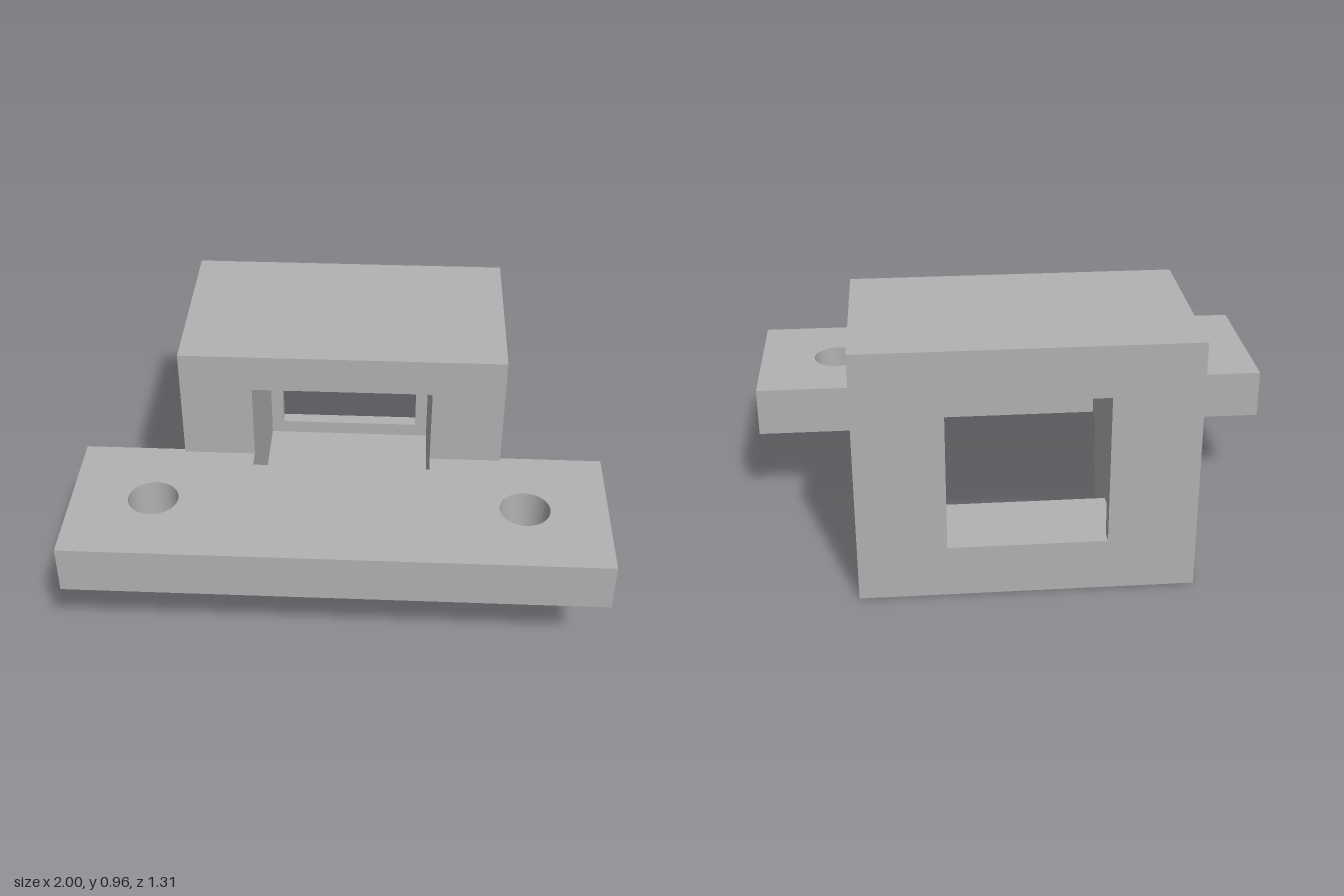
import * as THREE from 'three';
import { toCreasedNormals } from 'three/addons/utils/BufferGeometryUtils.js';

const polygon = (pts, Type = THREE.Shape) => new Type(pts.map(([x, y]) => new THREE.Vector2(x, y)));
const rect = (x, y0, y1) => [[-x, y0], [x, y0], [x, y1], [-x, y1]];

export function createModel() {
  const group = new THREE.Group();
  const grey = new THREE.MeshStandardMaterial({ color: 0xb2b2b2 });
  grey.name = 'plain grey';

  const add = (name, geometry) => {
    const mesh = new THREE.Mesh(geometry, grey);
    mesh.name = name;
    group.add(mesh);
  };
  // Extrudes an x-y outline between two depths
  const slice = (name, shape, z0, z1) => add(name,
    new THREE.ExtrudeGeometry(shape, { depth: z1 - z0, bevelEnabled: false }).translate(0, 0, z0));

  const W = 0.612, H = 0.965;

  // Rear lip with the smaller window
  const lip = polygon(rect(W, 0, H));
  lip.holes.push(polygon(rect(0.29, 0.197, 0.77), THREE.Path));
  slice('rearLip', lip, -0.655, -0.6);

  // Closed frame around the cavity
  const frame = polygon(rect(W, 0, H));
  frame.holes.push(polygon(rect(0.34, 0.14, 0.82), THREE.Path));
  slice('housingFrame', frame, -0.6, -0.25);

  // Front of the housing, its floor cut away
  slice('housingFront', polygon([
    [-W, 0], [-0.345, 0], [-0.345, 0.14], [-0.34, 0.14], [-0.34, 0.82],
    [0.34, 0.82], [0.34, 0.14], [0.345, 0.14], [0.345, 0], [W, 0], [W, H], [-W, H],
  ]), -0.25, 0.055);

  // Mounting plate, drawn in x and -z, with a rear notch and two screw holes
  const plate = polygon([
    [-1, -0.655], [1, -0.655], [1, -0.04], [0.34, -0.04],
    [0.34, -0.125], [-0.34, -0.125], [-0.34, -0.04], [-1, -0.04],
  ]);
  for (const side of [-1, 1]) {
    plate.holes.push(new THREE.Path().absarc(side * 0.692, -0.345, 0.094, 0, Math.PI * 2, true));
  }
  const plateGeometry = new THREE.ExtrudeGeometry(plate, { depth: 0.188, bevelEnabled: false, curveSegments: 48 })
    .rotateX(-Math.PI / 2).translate(0, 0.33, 0);
  add('mountingPlate', toCreasedNormals(plateGeometry, 0.6));

  return group;
}
